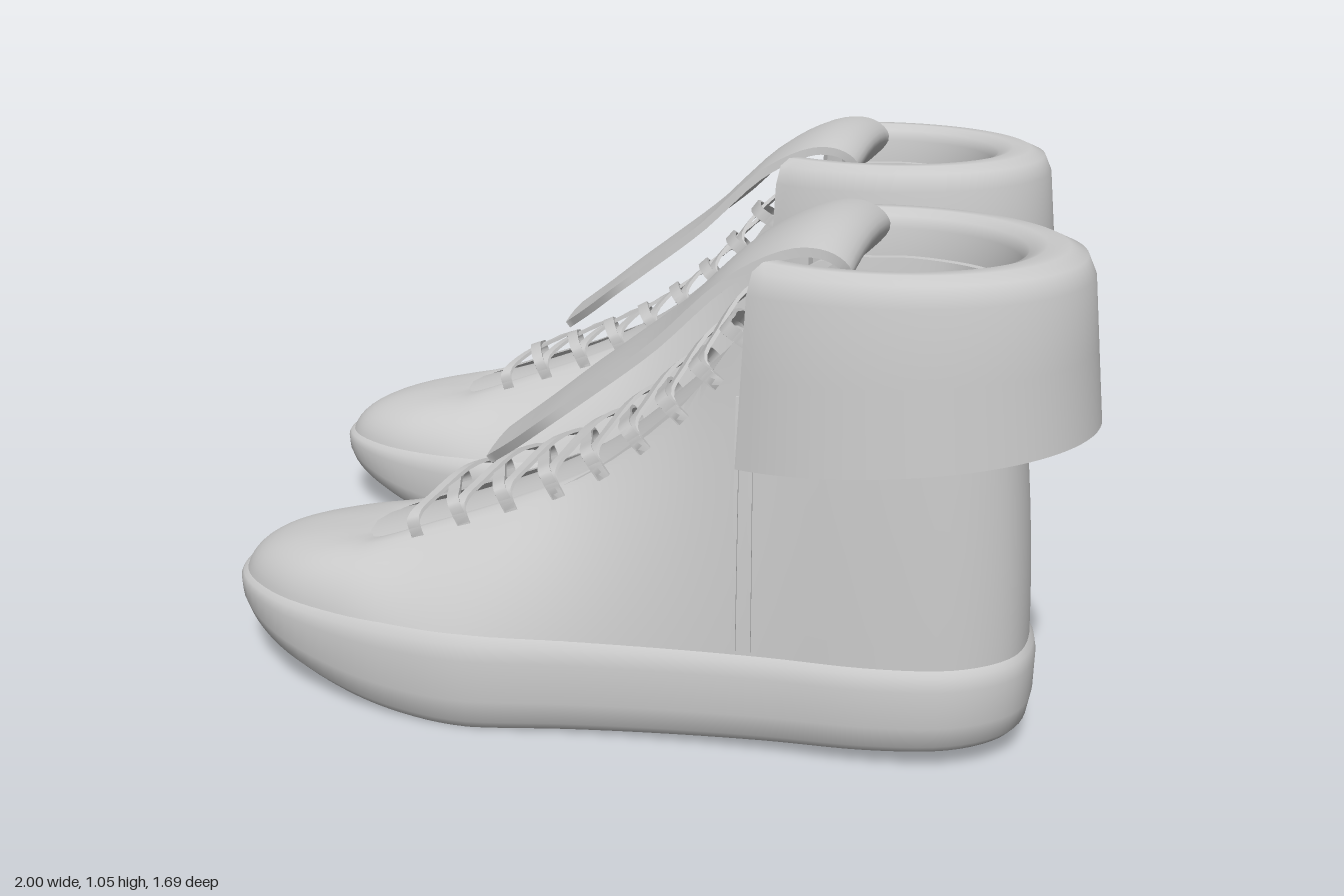
import * as THREE from 'three';
import { toCreasedNormals } from 'three/addons/utils/BufferGeometryUtils.js';

const V = (x, y, z) => new THREE.Vector3(x, y, z);
const material = new THREE.MeshStandardMaterial({ color: 0xcccccc, side: THREE.DoubleSide });

// Outline stations from toe tip round the outer side to the heel:
// [sole x, outer z, inner z, rim x, rim y, rim z, control lean, control height]
const STATIONS = [
  [-0.82, -0.04, -0.04, -0.50, 0.315, -0.02, 0.10, 0.80],
  [-0.78, 0.07, -0.14, -0.50, 0.315, 0.04, 0.10, 0.80],
  [-0.66, 0.17, -0.225, -0.49, 0.315, 0.09, 0.12, 0.80],
  [-0.50, 0.235, -0.275, -0.45, 0.325, 0.12, 0.18, 0.75],
  [-0.35, 0.27, -0.29, -0.33, 0.37, 0.12, 0.25, 0.60],
  [-0.20, 0.28, -0.275, -0.15, 0.44, 0.115, 0.30, 0.60],
  [0.00, 0.25, -0.235, 0.03, 0.53, 0.12, 0.25, 0.55],
  [0.20, 0.23, -0.22, 0.22, 0.69, 0.145, 0.20, 0.55],
  [0.40, 0.22, -0.215, 0.38, 0.89, 0.18, 0.12, 0.55],
  [0.60, 0.22, -0.215, 0.54, 0.92, 0.205, 0.10, 0.50],
  [0.76, 0.19, -0.19, 0.69, 0.92, 0.19, 0.10, 0.45],
  [0.86, 0.11, -0.11, 0.79, 0.92, 0.11, 0.10, 0.45],
  [0.885, 0, 0, 0.82, 0.92, 0, 0.05, 0.45],
];
const topY = (x) => 0.198 + 0.015 * x;
const bottomY = (x) => (x > -0.2 ? 0.042 * (x + 0.2) : 0.13 * Math.pow((-0.2 - x) / 0.63, 2.2));

// Closed base, control and rim curves that share one parameter
const loop = [
  ...STATIONS.map((s) => [s, s[1], s[5]]),
  ...STATIONS.slice(1, -1).reverse().map((s) => [s, s[2], -s[5]]),
];
const closedCurve = (fn) => new THREE.CatmullRomCurve3(loop.map(fn), true, 'centripetal');
const uniform = (c) => { c.curveType = 'catmullrom'; c.tension = 0.5; return c; };
const baseCurve = uniform(closedCurve(([s, w]) => V(s[0], topY(s[0]), w)));
const rimCurve = uniform(closedCurve(([s, , r]) => V(s[3], s[4], r)));
const controlCurve = uniform(closedCurve(([s, w, r]) => V(
  THREE.MathUtils.lerp(s[0], s[3], s[6]),
  THREE.MathUtils.lerp(topY(s[0]), s[4], s[7]),
  THREE.MathUtils.lerp(w, r, s[6]))));
const outward = (u) => {
  const t = baseCurve.getTangent(u);
  return V(-t.z, 0, t.x).normalize();
};
const upperPoint = (u, v) => new THREE.QuadraticBezierCurve3(
  baseCurve.getPoint(u), controlCurve.getPoint(u), rimCurve.getPoint(u)).getPoint(v);

// Skin closed rings of points; side -1 mirrors in z
function loft(rings, side, crease = 0.8) {
  const n = rings[0].length, pos = [], index = [];
  rings.forEach((r) => r.forEach((p) => pos.push(p.x, p.y, p.z * side)));
  for (let i = 0; i < rings.length - 1; i++) {
    for (let j = 0; j < n; j++) {
      const a = i * n + j, b = i * n + (j + 1) % n, c = b + n, d = a + n;
      if (side > 0) index.push(a, b, c, a, c, d);
      else index.push(a, c, b, a, d, c);
    }
  }
  const g = new THREE.BufferGeometry();
  g.setAttribute('position', new THREE.Float32BufferAttribute(pos, 3));
  g.setIndex(index);
  return toCreasedNormals(g, crease);
}

// Close both ends of thin sections by pairing each face with its opposite
function capped(rings) {
  const cap = (r) => r.map((p, j) => p.clone().lerp(r[r.length - 1 - j], 0.5));
  return [cap(rings[0]), ...rings, cap(rings[rings.length - 1])];
}

// Flat band along a curve, with given half-width and half-thickness vectors
function ribbon(curve, wide, thick, side, steps = 12) {
  const rings = curve.getPoints(steps).map((p) => [[1, 1], [-1, 1], [-1, -1], [1, -1]].map(
    ([a, b]) => p.clone().addScaledVector(wide, a).addScaledVector(thick, b)));
  return loft(capped(rings), side);
}

const N = 120;
const ring = (fn) => Array.from({ length: N }, (_, j) => fn(j / N));

function soleGeometry(side) {
  // [outline offset, width factor, height fraction]
  const steps = [[-0.012, 0, 0], [-0.012, 0.5, 0], [-0.012, 1, 0], [0.004, 1, 0.1], [0.012, 1, 0.35],
    [0.014, 1, 0.8], [0.009, 1, 0.97], [-0.004, 1, 1.06], [-0.03, 1, 1.06], [-0.03, 0.5, 1.06], [-0.03, 0, 1.06]];
  return loft(steps.map(([off, f, h]) => ring((u) => {
    const p = baseCurve.getPoint(u).addScaledVector(outward(u), off);
    p.z *= f;
    p.y = THREE.MathUtils.lerp(bottomY(p.x), topY(p.x), h);
    return p;
  })), side);
}

function upperGeometry(side) {
  const rings = [];
  for (let i = 0; i <= 14; i++) rings.push(ring((u) => upperPoint(u, i / 14)));
  // rim rolls inward into a short lining
  for (const [v, inset] of [[1, 0.018], [0.85, 0.03], [0.6, 0.035]]) {
    rings.push(ring((u) => upperPoint(u, v).addScaledVector(outward(u), -inset)));
  }
  return loft(rings, side, 1);
}

function cuffGeometry(side) {
  // outer skin from hem over the roll, then the inner skin back to the hem
  const outer = [[0.345, 0], [0.336, 0.45], [0.328, 0.85], [0.318, 0.96], [0.298, 1], [0.272, 1], [0.252, 0.965], [0.245, 0.9], [0.243, 0.72]];
  const inner = [[0.33, 0], [0.322, 0.45], [0.314, 0.83], [0.306, 0.93], [0.295, 0.96], [0.275, 0.96], [0.265, 0.94], [0.26, 0.89], [0.256, 0.72]];
  const profile = [...outer, ...inner.reverse()];
  const rings = [];
  for (let i = 0; i <= 56; i++) {
    const a = THREE.MathUtils.degToRad(-120 + (240 * i) / 56);
    rings.push(profile.map(([r, h]) => {
      const x = 0.57 + Math.cos(a) * (0.27 + (r - 0.25) * 1.65);
      const hem = 0.62 + 0.08 * (x - 0.36);
      return V(x, hem + h * (1.005 - hem), Math.sin(a) * r);
    }));
  }
  return loft(capped(rings), side);
}

function tongueGeometry(side) {
  // centre line x, y and half width, from the throat up and over the fold
  const line = [[-0.52, 0.30, 0.13], [-0.32, 0.365, 0.125], [-0.1, 0.46, 0.12], [0.05, 0.55, 0.125], [0.22, 0.70, 0.145],
    [0.38, 0.86, 0.17], [0.5, 0.95, 0.2], [0.54, 1.0, 0.21], [0.51, 1.03, 0.22], [0.445, 1.035, 0.225],
    [0.33, 0.98, 0.235], [0.18, 0.84, 0.247], [0.05, 0.737, 0.252], [-0.03, 0.675, 0.247], [-0.11, 0.61, 0.2], [-0.19, 0.548, 0.135]];
  const path = new THREE.CatmullRomCurve3(line.map(([x, y, w]) => V(x, y, w)), false, 'centripetal');
  const rings = [];
  for (let i = 0; i <= 70; i++) {
    const p = path.getPoint(i / 70), t = path.getTangent(i / 70);
    const n = V(-t.y, t.x, 0).normalize().multiplyScalar(0.009);
    const across = [-1, -0.75, -0.4, 0, 0.4, 0.75, 1];
    const row = (list, k) => list.map((s) => V(p.x, p.y - 0.018 * s * s, p.z * s).addScaledVector(n, k));
    rings.push([...row(across, 1), ...row(across.reverse(), -1)]);
  }
  return loft(capped(rings), side);
}

function createShoe(side, name) {
  const shoe = new THREE.Group();
  shoe.name = name;
  const add = (partName, geometry, parent = shoe) => {
    const mesh = new THREE.Mesh(geometry, material);
    mesh.name = partName;
    parent.add(mesh);
  };
  add('sole', soleGeometry(side));
  add('upper', upperGeometry(side));
  add('cuff', cuffGeometry(side));
  add('tongue', tongueGeometry(side));

  // Criss-cross laces between paired eyelets
  const laces = new THREE.Group();
  laces.name = 'laces';
  shoe.add(laces);
  const edge = new THREE.CatmullRomCurve3(STATIONS.slice(3, 9).map((s) => V(s[3], s[4], s[5])));
  const rows = 8;
  for (let i = 0; i < rows; i++) {
    const a = edge.getPointAt(0.1 + (0.84 * i) / rows), b = edge.getPointAt(0.1 + (0.84 * (i + 1)) / rows);
    const slope = V(b.x - a.x, b.y - a.y, 0).normalize(), up = V(-slope.y, slope.x, 0);
    for (const s of [1, -1]) {
      const at = (f, w, lift) => V(0, 0, 0).lerpVectors(a, b, f).setZ(s * w).addScaledVector(up, lift);
      const curve = new THREE.CatmullRomCurve3([
        at(0, a.z + 0.022, -0.02), at(0.05, a.z + 0.02, 0.025), at(0.3, a.z * 0.5, 0.045),
        at(0.7, -a.z * 0.5, 0.05 + 0.008 * s), at(0.95, -b.z - 0.02, 0.03), at(1, -b.z - 0.022, -0.02)]);
      add('lace', ribbon(curve, slope.clone().multiplyScalar(0.014), up.clone().multiplyScalar(0.004), side, 20), laces);
    }
  }

  // Double seam down each side below the cuff
  for (const u of [7.7, 7.85, 16.15, 16.3]) {
    const pts = [0.02, 0.2, 0.4, 0.6, 0.8].map((v) => upperPoint(u / 24, v));
    add('sideSeam', ribbon(new THREE.CatmullRomCurve3(pts), V(0.004, 0, 0), V(0, 0, 0.005), side));
  }
  shoe.position.set(side > 0 ? 0 : -0.17, 0, 0.5 * side);
  return shoe;
}

export function createModel() {
  const model = new THREE.Group();
  model.name = 'highTopShoes';
  model.add(createShoe(1, 'nearShoe'), createShoe(-1, 'farShoe'));
  return model;
}
